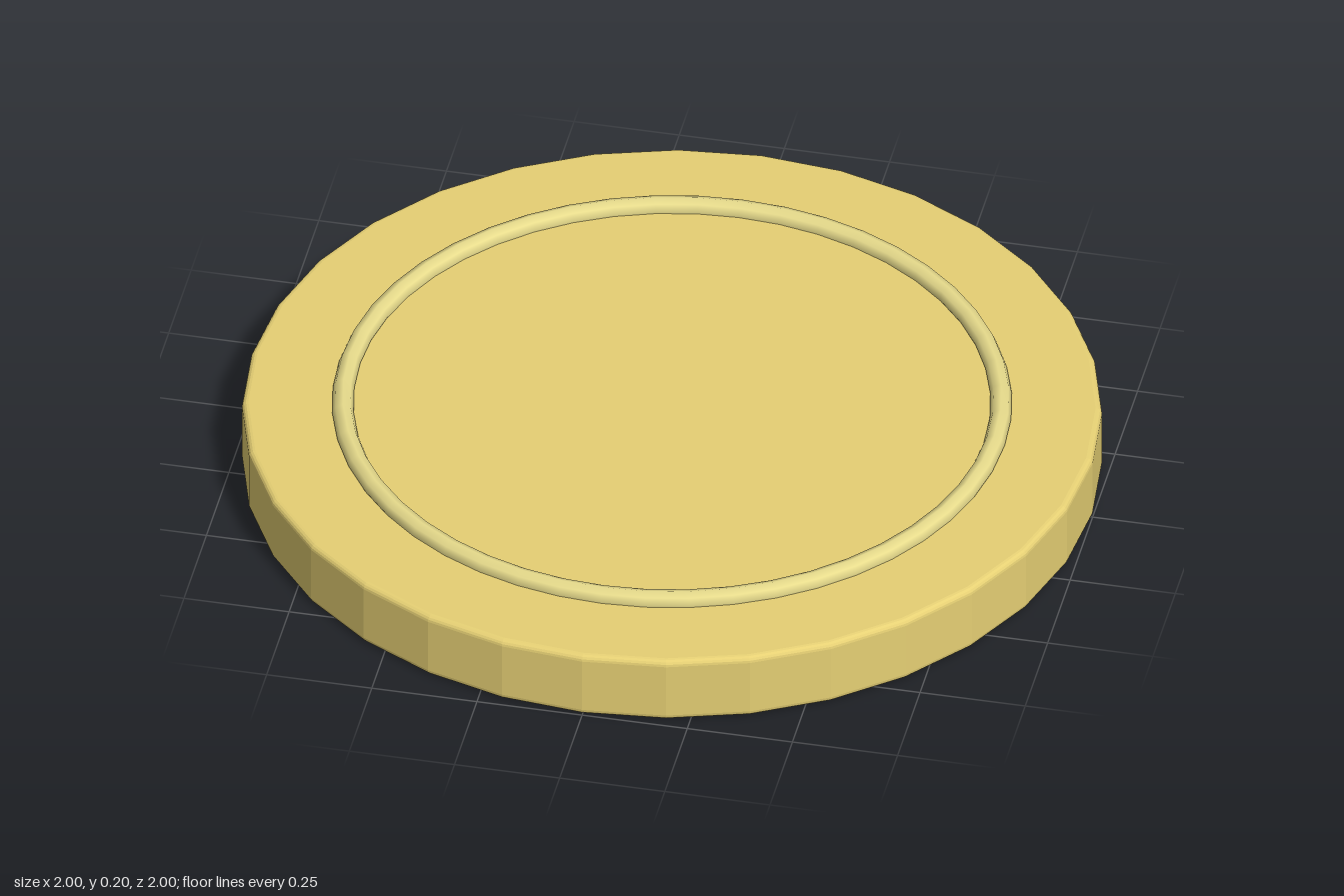
import * as THREE from 'three';

const RADIUS = 1, HEIGHT = 0.17, BEVEL = 0.015, BEVEL_STEPS = 4;

// Faceted disc with rounded rims, turned from a half profile
function discGeometry() {
  const profile = [new THREE.Vector2(0, 0)];
  for (const [centreY, start] of [[BEVEL, -Math.PI / 2], [HEIGHT - BEVEL, 0]]) {
    for (let i = 0; i <= BEVEL_STEPS; i++) {
      const a = start + (i / BEVEL_STEPS) * Math.PI / 2;
      profile.push(new THREE.Vector2(
        RADIUS - BEVEL + BEVEL * Math.cos(a),
        centreY + BEVEL * Math.sin(a)
      ));
    }
  }
  profile.push(new THREE.Vector2(0, HEIGHT));
  return new THREE.LatheGeometry(profile, 32);
}

export function createModel() {
  const model = new THREE.Group();
  model.name = 'coin';

  const disc = new THREE.Mesh(
    discGeometry(),
    new THREE.MeshStandardMaterial({ color: 0xe6d074, flatShading: true })
  );
  disc.name = 'disc';
  model.add(disc);

  // Smooth raised ring, half sunk into the top face
  const ring = new THREE.Mesh(
    new THREE.TorusGeometry(0.766, 0.025, 8, 48),
    new THREE.MeshStandardMaterial({ color: 0xe8dc8c })
  );
  ring.name = 'raisedRing';
  ring.rotation.x = -Math.PI / 2;
  ring.position.y = 0.175;
  model.add(ring);

  return model;
}
